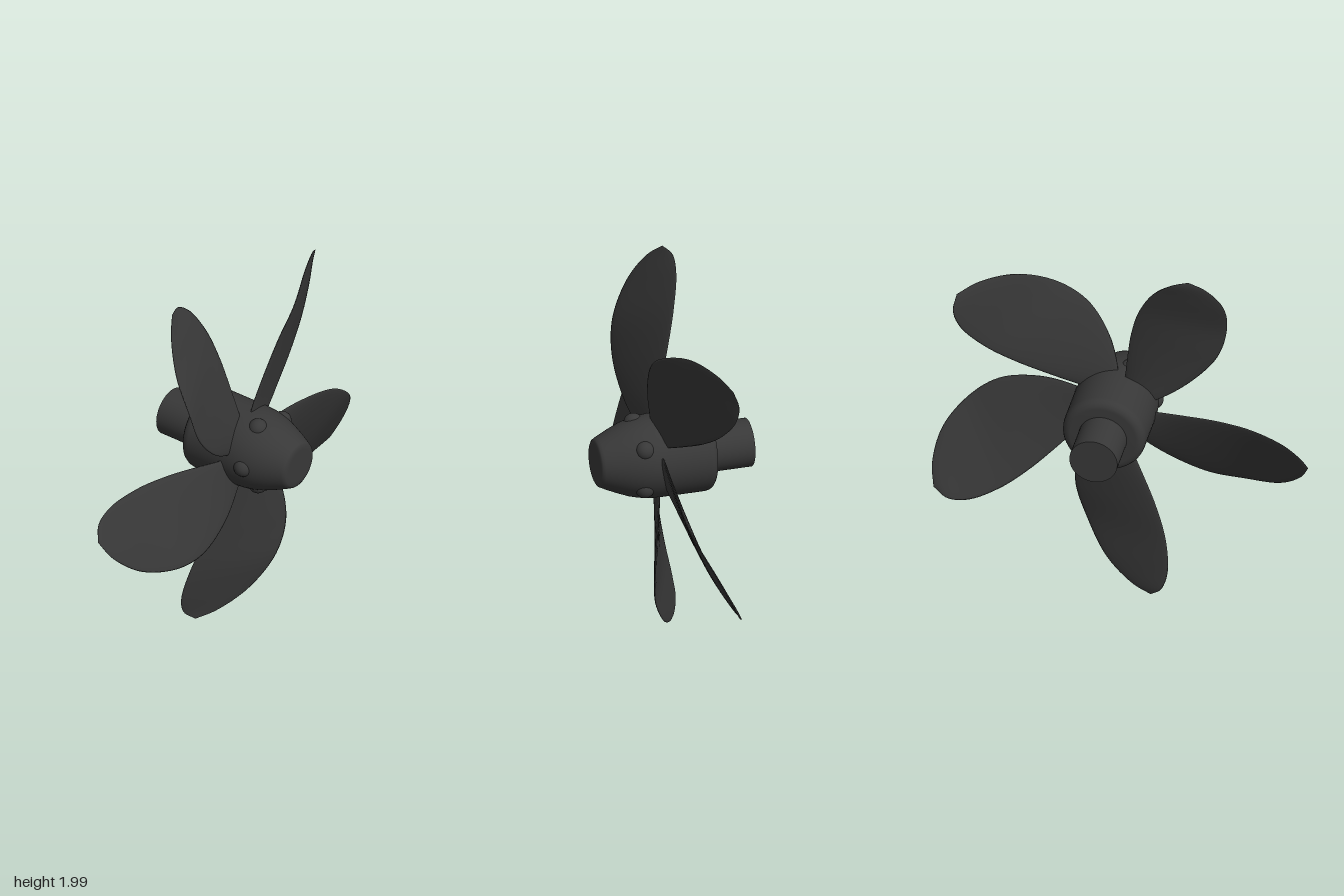
import * as THREE from 'three';

const vec = (p) => new THREE.Vector3(-p[0], -p[1], p[2]);

// Blade lofted between its two edges, with a lens-shaped cross-section.
// Edge points: distance outward, distance across, depth.
function bladeGeometry() {
  const trailing = new THREE.CatmullRomCurve3([
    [0.12, 0.01, 0.085], [0.205, -0.007, 0.07], [0.365, -0.037, 0.03], [0.565, -0.067, -0.02],
    [0.745, -0.072, -0.065], [0.915, -0.037, -0.105], [1.005, 0.025, -0.113], [1.045, 0.103, -0.085],
  ].map(vec));
  const leading = new THREE.CatmullRomCurve3([
    [0.08, 0.13, 0.1], [0.125, 0.19, 0.11], [0.265, 0.3, 0.14], [0.47, 0.385, 0.155],
    [0.665, 0.383, 0.135], [0.865, 0.323, 0.055], [0.995, 0.205, -0.03], [1.045, 0.103, -0.085],
  ].map(vec));
  const normal = new THREE.Vector3(-0.24, 0.415, 1).normalize();
  const rows = 48, ring = 24, positions = [], index = [];
  for (let i = 0; i <= rows; i++) {
    const t = i / rows;
    const a = trailing.getPoint(t), b = leading.getPoint(t);
    const half = 0.016 * Math.sqrt(1 - t);
    for (let j = 0; j < ring; j++) {
      const angle = (j / ring) * Math.PI * 2;
      const p = a.clone().lerp(b, (1 - Math.cos(angle)) / 2).addScaledVector(normal, half * Math.sin(angle));
      positions.push(p.x, p.y, p.z);
      if (i < rows) {
        const k = i * ring + j, n = i * ring + (j + 1) % ring;
        index.push(k, k + ring, n, k + ring, n + ring, n);
      }
    }
  }
  const geometry = new THREE.BufferGeometry();
  geometry.setAttribute('position', new THREE.Float32BufferAttribute(positions, 3));
  geometry.setIndex(index);
  geometry.computeVertexNormals();
  return geometry;
}

export function createModel() {
  const model = new THREE.Group();
  model.name = 'propeller';
  const metal = new THREE.MeshStandardMaterial({ color: 0x383838 });
  metal.name = 'dark metal';

  // Everything is built around the shaft axis
  const rotor = new THREE.Group();
  rotor.name = 'rotor';
  rotor.position.set(0.065, 1.033, 0);
  model.add(rotor);
  const add = (name, geometry) => {
    const mesh = new THREE.Mesh(geometry, metal);
    mesh.name = name;
    rotor.add(mesh);
    return mesh;
  };

  // Hub with rounded back rim and tapered nose
  const profile = [
    [0, -0.195], [0.1, -0.195], [0.172, -0.195], [0.19, -0.191], [0.205, -0.18], [0.213, -0.165], [0.216, -0.145],
    [0.216, 0], [0.216, 0.1], [0.213, 0.15], [0.204, 0.2], [0.19, 0.25], [0.17, 0.3], [0.148, 0.35],
    [0.131, 0.385], [0.124, 0.398], [0.112, 0.405], [0.09, 0.407], [0, 0.407],
  ].map(([r, z]) => new THREE.Vector2(r, z));
  add('hub', new THREE.LatheGeometry(profile, 64).rotateX(Math.PI / 2));

  // Drive shaft behind the hub
  add('shaft', new THREE.CylinderGeometry(0.125, 0.125, 0.24, 48).rotateX(Math.PI / 2)).position.z = -0.29;

  // Five blades, with a domed bolt at the root of each
  const blade = bladeGeometry();
  const bolt = new THREE.SphereGeometry(0.05, 24, 16);
  for (let i = 0; i < 5; i++) {
    const turn = (i / 5) * Math.PI * 2;
    add('blade', blade).rotation.z = turn;
    add('bolt', bolt).position.set(-0.18 * Math.cos(turn), -0.18 * Math.sin(turn), 0.185);
  }
  return model;
}
